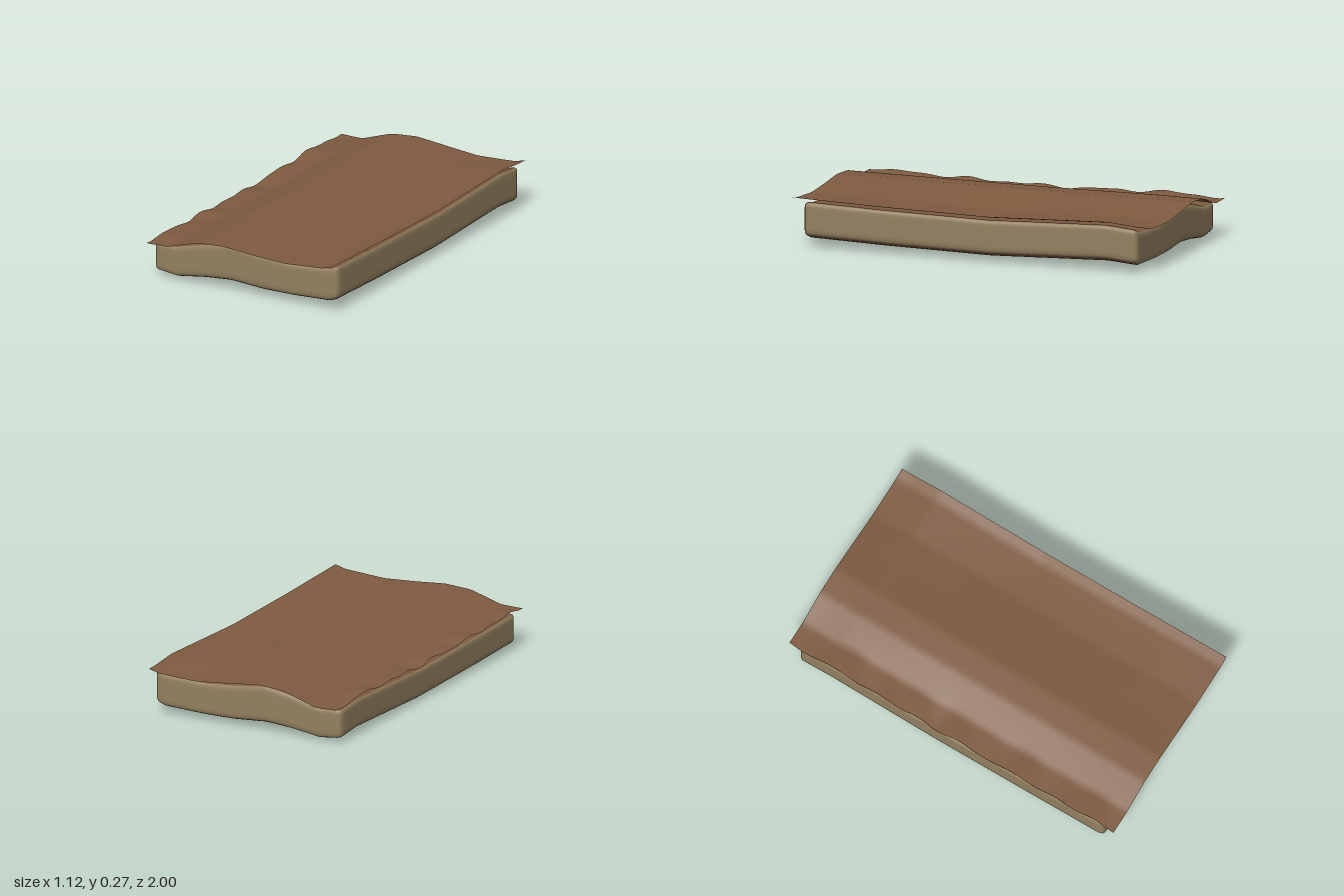
import * as THREE from 'three';
import { mergeVertices } from 'three/addons/utils/BufferGeometryUtils.js';

// Piecewise-linear curve through [position, value] pairs
function curve(points) {
  return (p) => {
    if (p <= points[0][0]) return points[0][1];
    for (let i = 1; i < points.length; i++) {
      const [a, va] = points[i - 1], [b, vb] = points[i];
      if (p <= b) return va + (vb - va) * (p - a) / (b - a);
    }
    return points[points.length - 1][1];
  };
}

// Profiles across the width, and the sag along the length
const padTop = curve([[-0.56, 0.197], [-0.43, 0.19], [-0.25, 0.235], [-0.1, 0.261],
  [0.09, 0.235], [0.27, 0.222], [0.5, 0.235], [0.56, 0.256]]);
const padBottom = curve([[-0.56, 0.037], [-0.42, 0.021], [-0.25, 0.045], [-0.1, 0.056],
  [0.09, 0.042], [0.27, 0.041], [0.5, 0.05], [0.56, 0.07]]);
const sheetTop = curve([[-0.56, 0.21], [-0.43, 0.205], [-0.33, 0.235], [-0.25, 0.258],
  [-0.1, 0.267], [0.09, 0.25], [0.27, 0.238], [0.5, 0.252], [0.56, 0.268]]);
const sag = curve([[-1, -0.014], [-0.93, -0.012], [-0.76, 0.002], [-0.1, -0.021],
  [0.5, -0.012], [0.93, 0], [1, 0.002]]);

// Rebuild welded smooth normals, keeping material groups
function smooth(geometry) {
  geometry.deleteAttribute('normal');
  geometry.deleteAttribute('uv');
  const merged = mergeVertices(geometry, 1e-5);
  merged.computeVertexNormals();
  return merged;
}

// Soft-edged slab bent to the top and bottom profiles
function makePad() {
  const half = new THREE.Vector3(0.557, 0.1, 0.938), r = 0.028;
  const core = half.clone().subScalar(r);
  const g = new THREE.BoxGeometry(half.x * 2, half.y * 2, half.z * 2, 60, 12, 90);
  const pos = g.attributes.position;
  const p = new THREE.Vector3(), c = new THREE.Vector3();
  for (let i = 0; i < pos.count; i++) {
    p.fromBufferAttribute(pos, i);
    c.copy(p).clamp(core.clone().negate(), core);
    p.sub(c).setLength(r).add(c);
    const z = p.z - 0.004;
    const t = p.y / (half.y * 2) + 0.5;
    const y = THREE.MathUtils.lerp(padBottom(p.x), padTop(p.x), t) + sag(z);
    pos.setXYZ(i, p.x, y, z);
  }
  return smooth(g);
}

// Thin cover with a crumpled edge along the -x side
function makeSheet() {
  const g = new THREE.PlaneGeometry(1.12, 2, 56, 100).rotateX(-Math.PI / 2);
  const pos = g.attributes.position;
  for (let i = 0; i < pos.count; i++) {
    let x = pos.getX(i);
    const z = pos.getZ(i);
    const crumple = THREE.MathUtils.smoothstep(-x, 0.38, 0.56);
    const follow = THREE.MathUtils.smoothstep(Math.abs(x + 0.1), 0, 0.6);
    const wave = Math.sin(z * 17 + 0.6) * 0.6 + Math.sin(z * 29 + x * 9) * 0.4;
    const y = sheetTop(x) + sag(z) * follow + crumple * wave * 0.009;
    if (x < -0.5) x += crumple * 0.004 * Math.sin(z * 23);
    pos.setXYZ(i, x, y, z);
  }
  return smooth(g);
}

export function createModel() {
  const model = new THREE.Group();
  model.name = 'coveredMattress';

  const side = new THREE.MeshStandardMaterial({ color: 0x93805f });
  const panel = new THREE.MeshStandardMaterial({ color: 0x7d5a40 });
  const cover = new THREE.MeshStandardMaterial({ color: 0x7f5b40, side: THREE.DoubleSide });

  // Box faces run +x, -x, top, bottom, +z, -z
  const mattress = new THREE.Mesh(makePad(), [side, side, panel, panel, side, side]);
  mattress.name = 'mattress';

  const sheet = new THREE.Mesh(makeSheet(), cover);
  sheet.name = 'coverSheet';

  model.add(mattress, sheet);
  return model;
}
